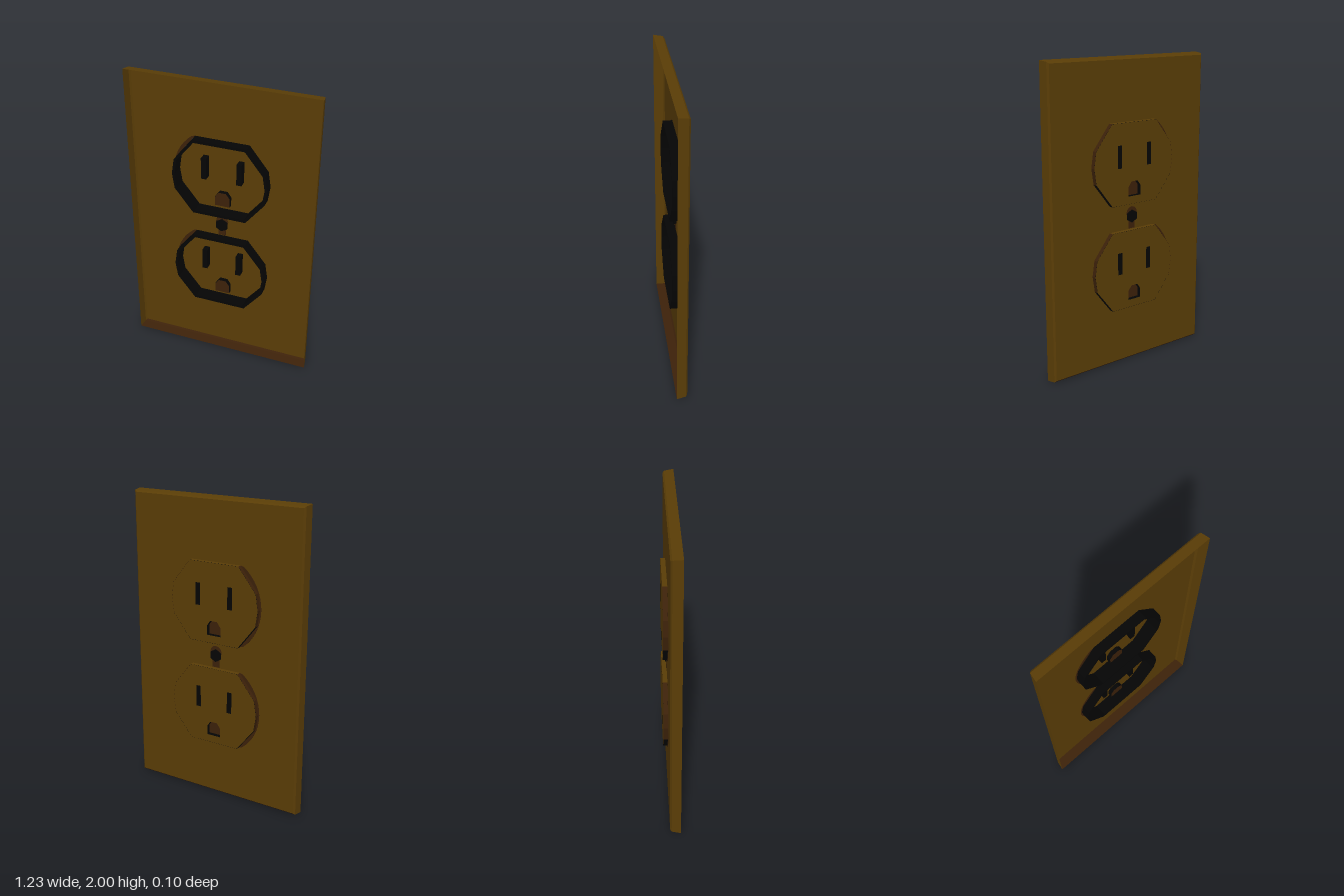
import * as THREE from 'three';

const mat = (name, color) => {
  const m = new THREE.MeshStandardMaterial({ color, side: THREE.DoubleSide });
  m.name = name;
  return m;
};

const CX = -0.01;              // centre line of the sockets
const CENTERS = [1.34, 0.645]; // socket heights

// Flattened decagon outline of a socket, w and h are half sizes
function socketPoints(w, h) {
  const right = [[0.56 * w, h], [0.95 * w, 0.4 * h], [w, 0], [0.95 * w, -0.4 * h], [0.56 * w, -h]];
  const left = right.map(([x, y]) => [-x, y]).reverse();
  return [...right, ...left].map(([x, y]) => new THREE.Vector2(x, y));
}

// Arc of a circle between two angles
const arcPoints = (r, a0, a1, n) => Array.from({ length: n + 1 }, (_, i) => {
  const a = a0 + (a1 - a0) * i / n;
  return new THREE.Vector2(Math.cos(a) * r, Math.sin(a) * r);
});

const rectPoints = (x, y, w, h) => [[-1, -1], [1, -1], [1, 1], [-1, 1]]
  .map(([sx, sy]) => new THREE.Vector2(x + sx * w / 2, y + sy * h / 2));

const shift = (pts, x, y) => pts.map((p) => new THREE.Vector2(p.x + x, p.y + y));

function shapeOf(points, holes = []) {
  const s = new THREE.Shape(points);
  holes.forEach((h) => s.holes.push(new THREE.Path(h)));
  return s;
}

function add(parent, name, geometry, material, z = 0) {
  const m = new THREE.Mesh(geometry, material);
  m.name = name;
  m.position.z = z;
  parent.add(m);
}

const extrude = (shape, depth) => new THREE.ExtrudeGeometry(shape, { depth, bevelEnabled: false });

// Open wall through point loops; sides[i] is the material number of side i
function loft(loops, sides = []) {
  const pos = [], index = [], n = loops[0].length;
  loops.forEach((l) => l.forEach((p) => pos.push(p.x, p.y, p.z)));
  const g = new THREE.BufferGeometry();
  for (let j = 0; j < loops.length - 1; j++) {
    for (let i = 0; i < n; i++) {
      const a = j * n + i, b = j * n + (i + 1) % n;
      index.push(a, a + n, b, b, a + n, b + n);
    }
  }
  g.setAttribute('position', new THREE.Float32BufferAttribute(pos, 3));
  g.setIndex(index);
  const flat = g.toNonIndexed();
  flat.computeVertexNormals();
  for (let k = 0; k < index.length / 6; k++) flat.addGroup(k * 6, 6, sides[k % n] ?? 0);
  return flat;
}

const atZ = (points, z) => points.map((p) => new THREE.Vector3(p.x, p.y, z));
const wall = (points, z0, z1, sides) => loft([atZ(points, z0), atZ(points, z1)], sides);

export function createModel() {
  const brass = mat('dark brass', 0x5a3d06);
  const brown = mat('dark brown', 0x3c2109);
  const black = mat('black', 0x050505);
  const group = new THREE.Group();
  group.name = 'outletPlate';

  // Cover plate: a shallow shell, open on +z, with a darker bottom edge
  const skirt = socketPoints(0.316, 0.261);
  const screwHole = arcPoints(0.03, 0, Math.PI * 5 / 3, 5);
  const face = shapeOf(rectPoints(0, 1, 1.19, 1.966), [
    ...CENTERS.map((y) => shift(skirt, CX, y)), shift(screwHole, CX, 0.99)]);
  add(group, 'plateFace', new THREE.ShapeGeometry(face), brass, -0.02);
  const rim = [[1.19, 1.966, -0.02], [1.212, 1.985, -0.01], [1.23, 2, 0.05]];
  add(group, 'plateRim', loft(rim.map(([w, h, z]) => atZ(rectPoints(0, 1, w, h), z)),
    [1, 0, 0, 0]), [brass, brown]);

  // Sockets
  const slots = [-0.117, 0.117].map((x) => rectPoints(x, 0.05, 0.034, 0.145));
  const ground = [[-0.05, -0.21], [0.05, -0.21], [0.05, -0.15], [0.025, -0.115], [-0.025, -0.115], [-0.05, -0.15]]
    .map(([x, y]) => new THREE.Vector2(x, y));
  const outer = socketPoints(0.315, 0.26), inner = socketPoints(0.297, 0.243);
  CENTERS.forEach((y, i) => {
    const socket = new THREE.Group();
    socket.name = i ? 'lowerSocket' : 'upperSocket';
    socket.position.set(CX, y, 0);
    group.add(socket);

    add(socket, 'socketFace', new THREE.ShapeGeometry(shapeOf(outer, [...slots, ground])), brass, -0.05);
    // Skirt: brass on top, brown at the sides, black underneath
    add(socket, 'socketSkirt', wall(skirt, -0.05, -0.02, [1, 1, 1, 2, 2, 2, 1, 1, 1, 0]),
      [brass, brown, black]);
    add(socket, 'socketCollar', extrude(shapeOf(outer, [inner]), 0.088), black, -0.048);

    // Blade slots and ground hole, sunk behind the face
    slots.forEach((s) => {
      add(socket, 'bladeSlotWall', wall(s, -0.05, 0), black);
      add(socket, 'bladeSlotEnd', new THREE.ShapeGeometry(shapeOf(s)), black);
    });
    add(socket, 'groundHoleWall', wall(ground, -0.05, -0.02), black);
    add(socket, 'groundHoleEnd', new THREE.ShapeGeometry(shapeOf(ground)), brown, -0.02);

    // Crescent lip along one side of the opening
    const lip = shapeOf([...arcPoints(0.324, Math.PI * 0.71, Math.PI * 1.29, 16), ...skirt.slice(5)]);
    add(socket, 'openingLip', extrude(lip, 0.004), brown, -0.022);
  });

  // Centre screw with its dark seat
  const screw = new THREE.CylinderGeometry(0.043, 0.043, 0.024, 6);
  screw.rotateX(Math.PI / 2).translate(CX, 0.99, 0);
  add(group, 'screw', screw, black, -0.016);
  const seat = shapeOf(shift(arcPoints(0.042, 0, Math.PI * 11 / 6, 11), CX, 1.012));
  const tab = shapeOf(rectPoints(CX, 0.945, 0.05, 0.07));
  add(group, 'screwSeat', extrude([seat, tab], 0.004), brown, -0.022);
  return group;
}
